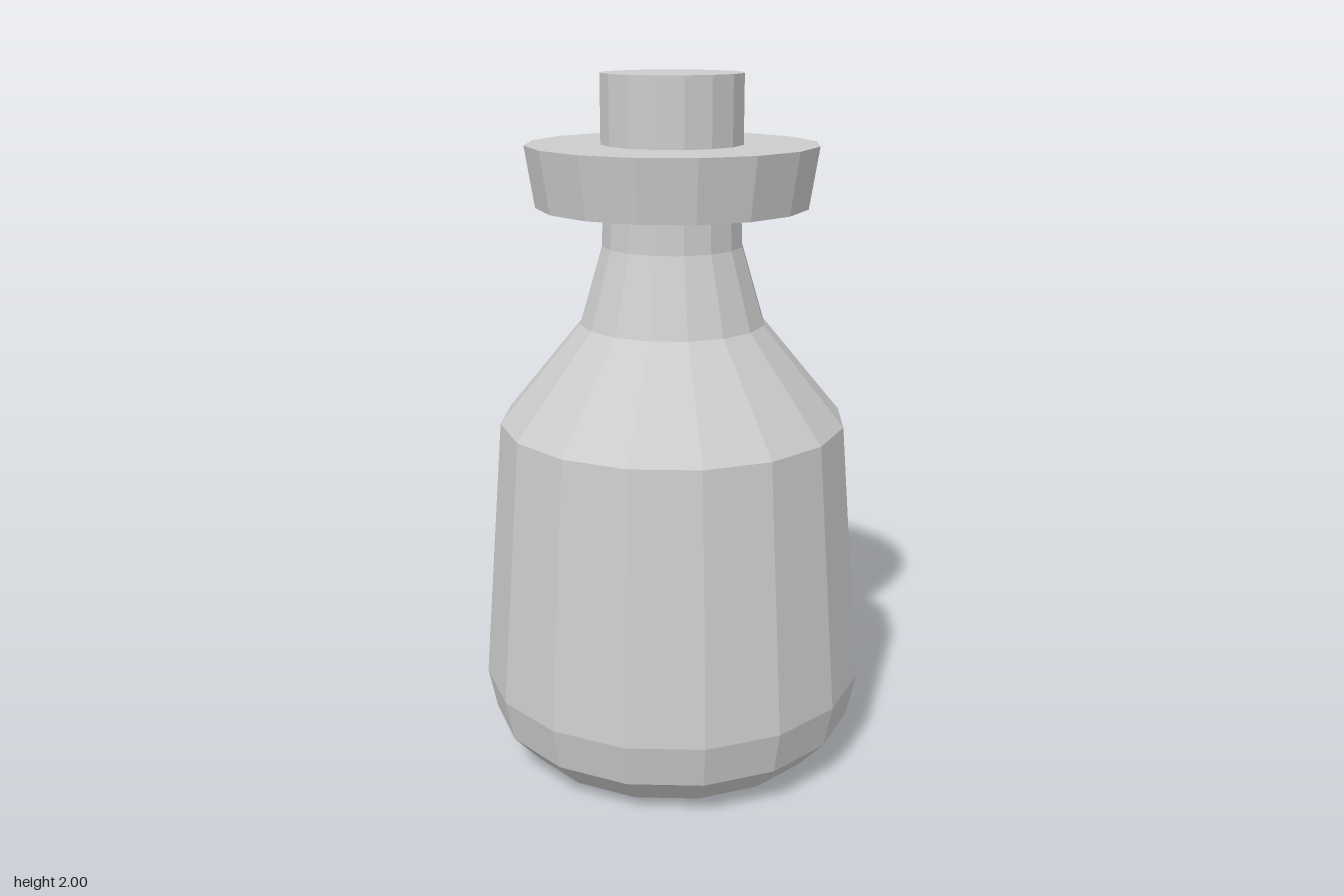
import * as THREE from 'three';

const SIDES = 16;

// Faceted solid of revolution from [radius, height] pairs, bottom to top
function turned(name, profile, material) {
  const points = profile.map(([r, y]) => new THREE.Vector2(r, y));
  const mesh = new THREE.Mesh(new THREE.LatheGeometry(points, SIDES), material);
  mesh.name = name;
  return mesh;
}

export function createModel() {
  const grey = new THREE.MeshStandardMaterial({ color: 0xcccccc, flatShading: true });
  grey.name = 'plain grey';

  const bottle = new THREE.Group();
  bottle.name = 'bottle';

  // Body with rounded foot, sloping shoulder and narrow neck
  bottle.add(turned('body', [
    [0, 0], [0.33, 0.005], [0.46, 0.035], [0.54, 0.125], [0.565, 0.25],
    [0.5, 1.025], [0.265, 1.31], [0.2, 1.53], [0.195, 1.66],
  ], grey));

  // Wide collar around the mouth, slightly flared upwards
  bottle.add(turned('collar', [
    [0, 1.64], [0.383, 1.64], [0.41, 1.81], [0, 1.81],
  ], grey));

  // Stopper standing out of the collar
  bottle.add(turned('stopper', [
    [0.2, 1.8], [0.2, 2], [0, 2],
  ], grey));

  return bottle;
}
